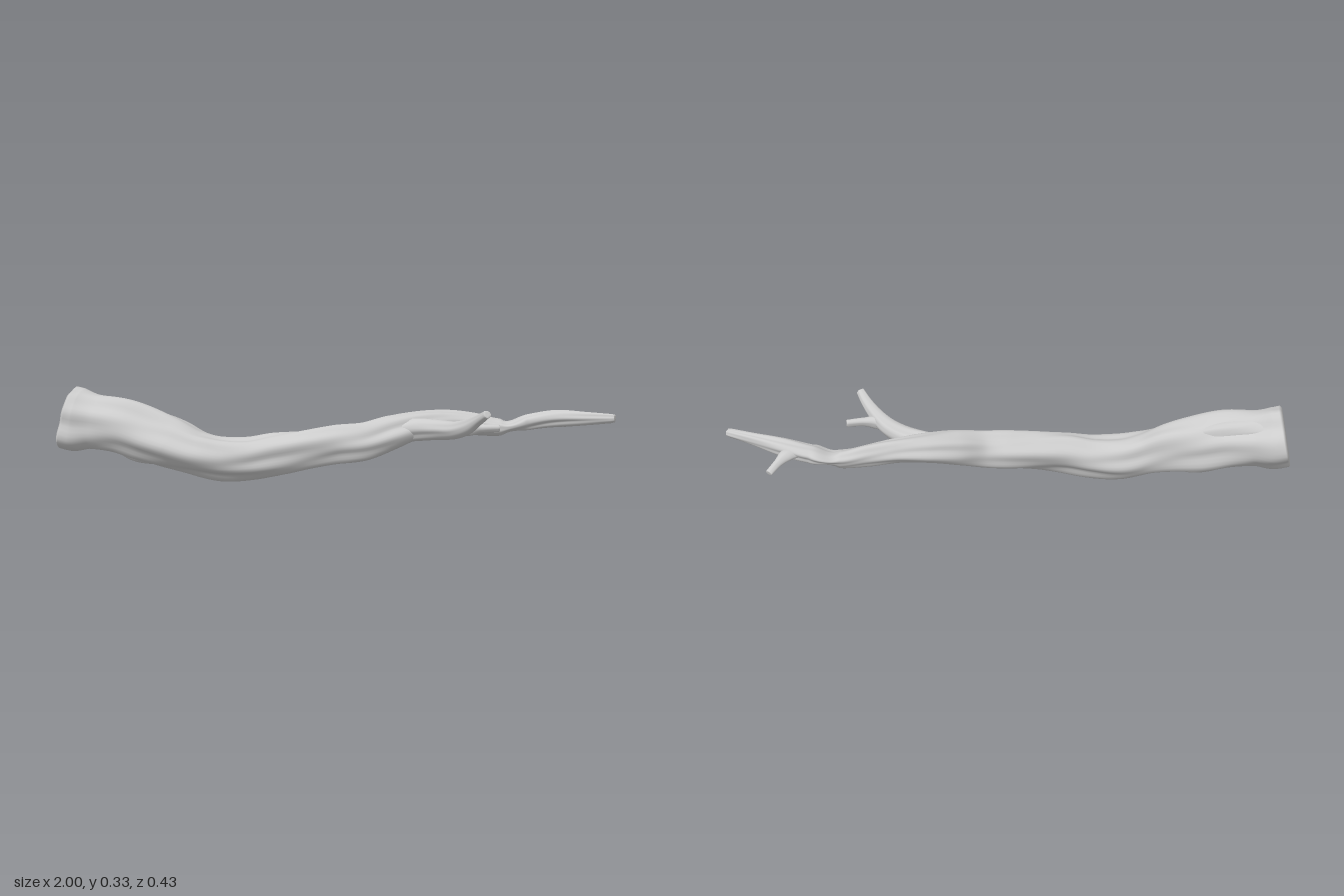
import * as THREE from 'three';

const material = new THREE.MeshStandardMaterial({ color: 0xcccccc });

// Sweeps a ribbed oval section along stations of [x, y, z, halfHeight, halfWidth].
// ribs: depth of the bark ridges; twist: how fast they wind; phase: their start angle.
function limb(name, stations, { sides = 32, steps = 100, ribs = 0.1, twist = 6, phase = 0 } = {}) {
  const path = new THREE.CatmullRomCurve3(stations.map(s => new THREE.Vector3(s[0], s[1], s[2])));
  const size = new THREE.CatmullRomCurve3(stations.map(s => new THREE.Vector3(s[3], s[4], 0)));

  // Each ring is [position along path, scale]; shrinking rings close the blunt ends
  const rings = [[0, 0.002], [0, 0.6], [0, 0.92]];
  for (let i = 0; i <= steps; i++) rings.push([0.006 + 0.988 * i / steps, 1]);
  rings.push([1, 0.88], [1, 0.5], [1, 0.002]);

  const positions = [], index = [];
  const up = new THREE.Vector3(0, 1, 0);
  rings.forEach(([u, scale], i) => {
    const centre = path.getPoint(u), radius = size.getPoint(u);
    const tangent = path.getTangent(u);
    const side = new THREE.Vector3().crossVectors(tangent, up).normalize();
    const normal = new THREE.Vector3().crossVectors(side, tangent);
    for (let j = 0; j < sides; j++) {
      const a = j / sides * Math.PI * 2;
      const w = centre.x * twist + phase;
      const bark = 1 + ribs * (0.5 * Math.sin(3 * a + w) + 0.4 * Math.sin(5 * a - 1.4 * w + 1)
        + 0.3 * Math.sin(2 * a + 2.7 * w) + 0.25 * Math.sin(8 * a + 1.5 * w));
      const p = centre.clone()
        .addScaledVector(normal, Math.cos(a) * radius.x * bark * scale)
        .addScaledVector(side, Math.sin(a) * radius.y * bark * scale);
      positions.push(p.x, p.y, p.z);
      if (i < rings.length - 1) {
        const k = (j + 1) % sides, r = i * sides, n = r + sides;
        index.push(r + j, r + k, n + j, r + k, n + k, n + j);
      }
    }
  });
  const geometry = new THREE.BufferGeometry();
  geometry.setAttribute('position', new THREE.Float32BufferAttribute(positions, 3));
  geometry.setIndex(index);
  geometry.computeVertexNormals();
  const mesh = new THREE.Mesh(geometry, material);
  mesh.name = name;
  return mesh;
}

export function createModel() {
  const group = new THREE.Group();
  group.name = 'driftwoodBranch';

  // Trunk: flared broken butt, sagging middle, long thin tip
  group.add(limb('trunk', [
    [-0.972, 0.215, -0.083, 0.110, 0.108],
    [-0.93, 0.206, -0.078, 0.112, 0.106],
    [-0.86, 0.200, -0.064, 0.098, 0.090],
    [-0.77, 0.188, -0.045, 0.096, 0.090],
    [-0.68, 0.162, -0.028, 0.095, 0.090],
    [-0.58, 0.135, -0.002, 0.090, 0.083],
    [-0.49, 0.106, 0.016, 0.079, 0.077],
    [-0.40, 0.087, 0.019, 0.077, 0.077],
    [-0.30, 0.088, 0.025, 0.072, 0.075],
    [-0.20, 0.105, 0.027, 0.074, 0.068],
    [-0.10, 0.121, 0.015, 0.070, 0.064],
    [0.00, 0.133, -0.002, 0.066, 0.061],
    [0.10, 0.142, -0.012, 0.063, 0.058],
    [0.20, 0.172, -0.044, 0.060, 0.066],
    [0.30, 0.195, -0.082, 0.050, 0.056],
    [0.40, 0.204, -0.108, 0.040, 0.043],
    [0.50, 0.194, -0.118, 0.037, 0.037],
    [0.60, 0.183, -0.122, 0.030, 0.037],
    [0.70, 0.204, -0.122, 0.030, 0.037],
    [0.79, 0.220, -0.102, 0.030, 0.033],
    [0.90, 0.228, -0.056, 0.022, 0.020],
    [0.995, 0.234, -0.014, 0.015, 0.014],
  ], { sides: 48, steps: 260, ribs: 0.13 }));

  // Torn strip of bark lying over the upper back of the butt
  group.add(limb('barkRidge', [
    [-0.90, 0.250, -0.085, 0.045, 0.055],
    [-0.76, 0.228, -0.060, 0.048, 0.055],
    [-0.63, 0.188, -0.030, 0.042, 0.048],
    [-0.52, 0.162, -0.010, 0.026, 0.034],
  ], { steps: 40, phase: 1 }));

  // Broken knot under the butt
  group.add(limb('knot', [
    [-0.80, 0.150, -0.055, 0.035, 0.035],
    [-0.72, 0.115, -0.045, 0.047, 0.038],
    [-0.65, 0.094, -0.040, 0.038, 0.033],
    [-0.58, 0.090, -0.030, 0.022, 0.022],
  ], { steps: 30, phase: 2 }));

  // Side branch that forks towards the front
  group.add(limb('sideBranch', [
    [0.20, 0.170, -0.050, 0.040, 0.040],
    [0.29, 0.186, -0.035, 0.040, 0.038],
    [0.37, 0.193, 0.005, 0.034, 0.038],
    [0.43, 0.200, 0.060, 0.030, 0.033],
    [0.475, 0.220, 0.112, 0.026, 0.025],
    [0.51, 0.249, 0.160, 0.018, 0.019],
    [0.535, 0.274, 0.204, 0.014, 0.014],
  ], { steps: 60, phase: 3 }));
  group.add(limb('sideTwig', [
    [0.42, 0.198, 0.060, 0.022, 0.022],
    [0.475, 0.206, 0.092, 0.024, 0.022],
    [0.52, 0.209, 0.092, 0.016, 0.015],
    [0.583, 0.209, 0.082, 0.013, 0.011],
  ], { sides: 20, steps: 30, phase: 1 }));

  // Short twig near the tip, pointing back and down
  group.add(limb('tipTwig', [
    [0.73, 0.212, -0.110, 0.022, 0.026],
    [0.78, 0.210, -0.142, 0.021, 0.024],
    [0.81, 0.197, -0.175, 0.013, 0.014],
    [0.838, 0.182, -0.213, 0.009, 0.013],
  ], { sides: 20, steps: 30, phase: 2 }));

  return group;
}
